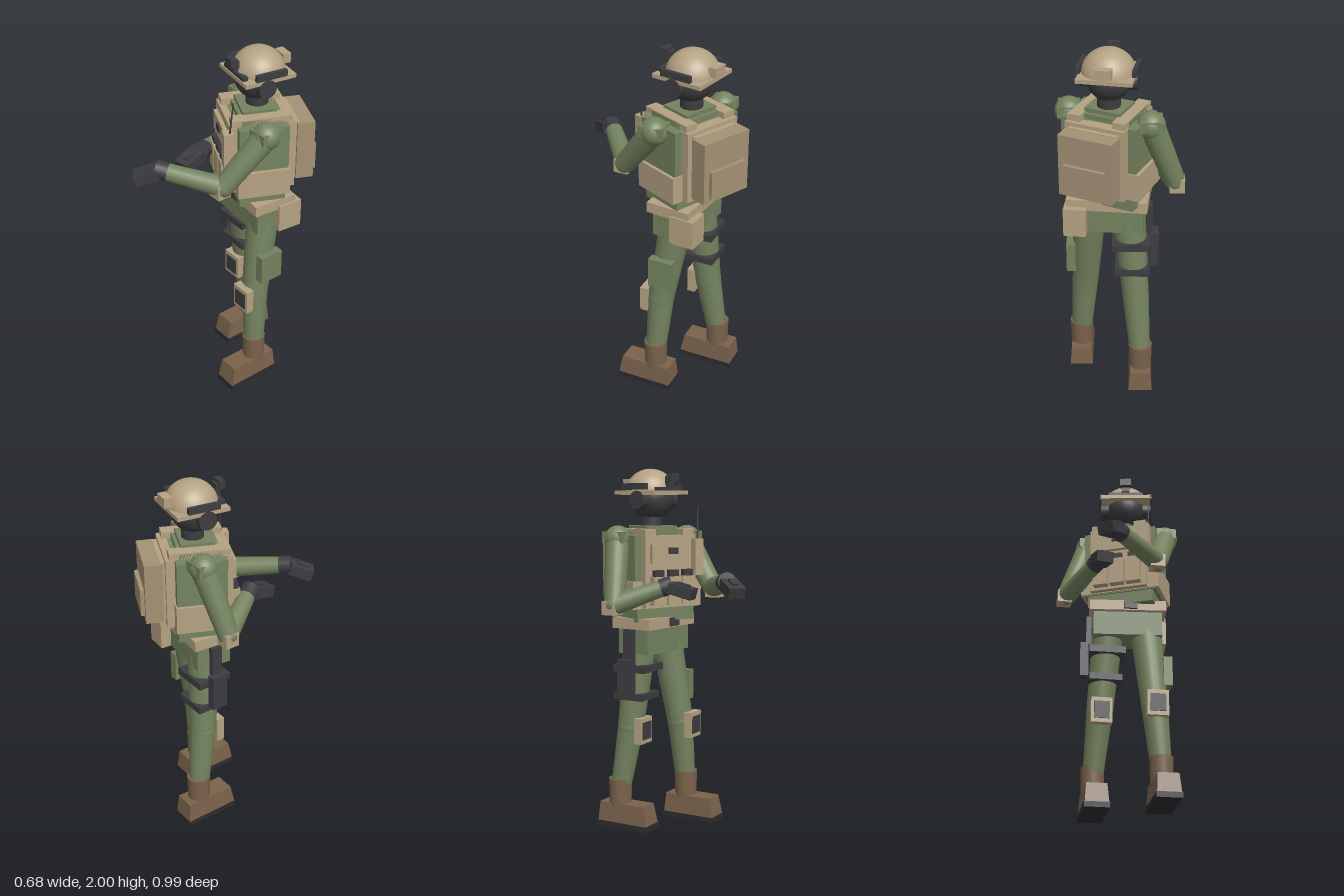
import * as THREE from 'three';

const mat = (color) => new THREE.MeshStandardMaterial({ color });
const green = mat(0x74835f), tan = mat(0xb5a283), packTan = mat(0xa39174);
const dark = mat(0x3d3d41), brown = mat(0x7a624b), sole = mat(0x2c2c30);
const V = (p) => new THREE.Vector3(...p);

function add(parent, name, geometry, material, pos = [0, 0, 0]) {
  const m = new THREE.Mesh(geometry, material);
  m.name = name;
  m.position.set(...pos);
  parent.add(m);
  return m;
}

const box = (parent, name, size, pos, material) =>
  add(parent, name, new THREE.BoxGeometry(...size), material, pos);

// box given by its lower and upper y
const slab = (parent, name, w, d, y0, y1, x, z, material) =>
  box(parent, name, [w, y1 - y0, d], [x, (y0 + y1) / 2, z], material);

const ball = (parent, name, r, pos, material) =>
  add(parent, name, new THREE.SphereGeometry(r, 24, 16), material, pos);

// tapered round limb from a (radius ra) to b (radius rb)
function limb(parent, name, a, b, ra, rb, material) {
  const p = V(a), q = V(b), dir = q.clone().sub(p);
  const m = add(parent, name, new THREE.CylinderGeometry(rb, ra, dir.length(), 20), material,
    p.clone().add(q).multiplyScalar(0.5).toArray());
  m.quaternion.setFromUnitVectors(new THREE.Vector3(0, 1, 0), dir.normalize());
  return m;
}

function group(parent, name, pos = [0, 0, 0], yaw = 0) {
  const g = new THREE.Group();
  g.name = name;
  g.position.set(...pos);
  g.rotation.y = yaw;
  parent.add(g);
  return g;
}

function buildHead(root) {
  const h = group(root, 'head', [0.052, 0, -0.185], -0.17);
  limb(h, 'neck', [0, 1.64, 0], [0, 1.76, 0], 0.06, 0.06, dark);
  ball(h, 'face', 0.118, [0, 1.84, 0.005], dark);
  const dome = add(h, 'helmetDome', new THREE.SphereGeometry(0.14, 32, 12, 0, Math.PI * 2, 0, Math.PI / 2),
    tan, [0, 1.868, -0.005]);
  dome.scale.y = 0.943;
  slab(h, 'helmetBrim', 0.285, 0.29, 1.858, 1.88, 0, 0, tan);
  slab(h, 'goggleBand', 0.2, 0.03, 1.875, 1.9, 0, 0.125, dark);
  slab(h, 'helmetMount', 0.05, 0.03, 1.9, 1.96, 0, 0.135, dark);
  slab(h, 'mountHead', 0.065, 0.035, 1.93, 1.975, 0, 0.155, dark);
  slab(h, 'helmetRearBox', 0.085, 0.045, 1.893, 1.945, 0, -0.148, tan);
  for (const s of [-1, 1]) {
    slab(h, 'helmetRail', 0.022, 0.175, 1.885, 1.92, s * 0.142, 0, dark);
    limb(h, 'earCup', [s * 0.1, 1.83, 0.02], [s * 0.148, 1.83, 0.02], 0.052, 0.05, dark);
  }
}

function buildTorso(root) {
  const t = group(root, 'torso', [0.05, 0, -0.174], -0.43);
  slab(t, 'chest', 0.42, 0.265, 1.24, 1.64, 0, 0, green);
  slab(t, 'abdomen', 0.38, 0.25, 1.17, 1.25, 0, 0, green);
  slab(t, 'upperChest', 0.32, 0.22, 1.63, 1.668, 0, 0, green);
  slab(t, 'collar', 0.2, 0.18, 1.66, 1.69, 0, 0, green);

  // plate carrier
  slab(t, 'frontPlate', 0.33, 0.05, 1.25, 1.64, 0, 0.145, tan);
  slab(t, 'backPlate', 0.33, 0.06, 1.25, 1.64, 0, -0.15, tan);
  slab(t, 'cummerbund', 0.456, 0.28, 1.245, 1.395, 0, 0, tan);
  for (const s of [-1, 1])
    slab(t, 'shoulderStrap', 0.07, 0.32, 1.62, 1.675, s * 0.125, 0, tan);

  // chest pouches, magazines and radio
  slab(t, 'adminPouch', 0.25, 0.025, 1.49, 1.595, -0.01, 0.18, tan);
  slab(t, 'chestPatch', 0.06, 0.012, 1.54, 1.575, 0.0, 0.196, dark);
  for (const x of [-0.095, 0, 0.095]) {
    slab(t, 'magazinePouch', 0.083, 0.045, 1.265, 1.42, x, 0.19, tan);
    slab(t, 'magazine', 0.06, 0.028, 1.41, 1.455, x, 0.19, dark);
  }
  slab(t, 'radioPouch', 0.055, 0.05, 1.42, 1.62, 0.165, 0.185, tan);
  limb(t, 'antenna', [0.175, 1.6, 0.178], [0.19, 1.8, 0.162], 0.005, 0.003, dark);

  // backpack
  slab(t, 'backpackPad', 0.27, 0.03, 1.28, 1.62, 0, -0.19, tan);
  slab(t, 'backpack', 0.298, 0.095, 1.28, 1.615, 0, -0.24, packTan);
  slab(t, 'backpackPouch', 0.23, 0.045, 1.31, 1.46, 0, -0.286, packTan);
}

function buildHips(root) {
  const h = group(root, 'hips', [0.055, 0, -0.172], -0.1);
  slab(h, 'pelvis', 0.385, 0.2, 0.99, 1.18, 0, 0, green);
  slab(h, 'belt', 0.43, 0.25, 1.13, 1.19, 0, 0, tan);
  slab(h, 'buckle', 0.075, 0.02, 1.137, 1.183, 0.015, 0.128, dark);
  slab(h, 'hipPouch', 0.12, 0.14, 0.99, 1.15, 0.165, -0.09, tan);
}

function buildLeg(root, name, hip, knee, ankle) {
  const g = group(root, name);
  limb(g, 'thigh', hip, knee, 0.09, 0.073, green);
  ball(g, 'knee', 0.074, knee, green);
  limb(g, 'shin', knee, ankle, 0.073, 0.056, green);
  const [x, , z] = ankle;
  limb(g, 'bootShaft', [x, 0.12, z], [x, 0.275, z], 0.062, 0.065, brown);
  // boot body narrows toward its top
  const geo = new THREE.BoxGeometry(0.13, 0.11, 0.315), p = geo.attributes.position;
  for (let i = 0; i < p.count; i++)
    if (p.getY(i) > 0) p.setXYZ(i, p.getX(i) * 0.87, p.getY(i), p.getZ(i) * 0.9 - 0.006);
  geo.computeVertexNormals();
  add(g, 'boot', geo, brown, [x, 0.083, z + 0.048]);
  slab(g, 'sole', 0.137, 0.323, 0, 0.03, x, z + 0.048, sole);
  const padZ = knee[2] + 0.08;
  slab(g, 'kneePad', 0.118, 0.045, 0.487, 0.632, knee[0], padZ, tan);
  slab(g, 'kneePadCap', 0.085, 0.012, 0.51, 0.608, knee[0], padZ + 0.022, dark);
  return g;
}

function buildArm(root, name, shoulder, elbow, wrist, fingers, pad) {
  const g = group(root, name);
  ball(g, 'shoulder', 0.074, shoulder, green);
  box(g, 'shoulderCap', [0.115, 0.06, 0.13], [shoulder[0], shoulder[1] + 0.01, shoulder[2]], green);
  limb(g, 'upperArm', shoulder, elbow, 0.068, 0.056, green);
  ball(g, 'elbow', 0.056, elbow, green);
  limb(g, 'forearm', elbow, wrist, 0.056, 0.045, green);
  box(g, 'elbowPad', [0.08, 0.075, 0.08], pad, tan);
  // gloved hand pointing from wrist to fingers
  const w = V(wrist), dir = V(fingers).sub(w), len = dir.length();
  const flat = V([dir.x, 0, dir.z]).normalize();
  const armDir = w.clone().sub(V(elbow)).normalize();
  limb(g, 'gloveCuff', w.clone().addScaledVector(armDir, -0.035).toArray(),
    w.clone().addScaledVector(armDir, 0.03).toArray(), 0.049, 0.049, dark);
  const hand = group(g, 'hand', wrist);
  hand.rotation.order = 'YXZ';
  hand.rotation.set(-Math.asin(dir.y / len), Math.atan2(flat.x, flat.z), 0);
  box(hand, 'glove', [0.095, 0.06, len - 0.02], [0, 0, len / 2 + 0.01], dark);
  box(hand, 'knuckleGuard', [0.03, 0.015, 0.07], [0, 0.034, len / 2 + 0.01], dark);
}

export function createModel() {
  const root = new THREE.Group();
  root.name = 'soldier';
  buildHead(root);
  buildTorso(root);
  buildHips(root);

  buildLeg(root, 'leftLeg', [0.16, 1.06, -0.155], [0.193, 0.57, -0.08], [0.22, 0.2, -0.057]);
  const right = buildLeg(root, 'rightLeg', [-0.05, 1.06, -0.195], [-0.09, 0.57, -0.238], [-0.118, 0.2, -0.292]);

  // thigh gear
  slab(root, 'thighPouch', 0.05, 0.14, 0.69, 0.86, 0.265, -0.118, green);
  slab(right, 'upperThighStrap', 0.205, 0.2, 0.89, 0.93, -0.063, -0.205, dark);
  slab(right, 'lowerThighStrap', 0.185, 0.185, 0.733, 0.77, -0.07, -0.215, dark);
  slab(right, 'holster', 0.047, 0.09, 0.765, 0.965, -0.188, -0.205, dark);
  slab(right, 'holsterHanger', 0.03, 0.06, 0.96, 1.13, -0.163, -0.2, dark);

  buildArm(root, 'rightArm', [-0.162, 1.62, -0.27], [-0.29, 1.275, -0.212],
    [-0.147, 1.375, 0.03], [-0.12, 1.335, 0.18], [-0.302, 1.26, -0.22]);
  buildArm(root, 'leftArm', [0.263, 1.615, -0.077], [0.18, 1.35, 0.135],
    [-0.072, 1.405, 0.345], [-0.16, 1.355, 0.455], [0.172, 1.335, 0.15]);
  return root;
}
